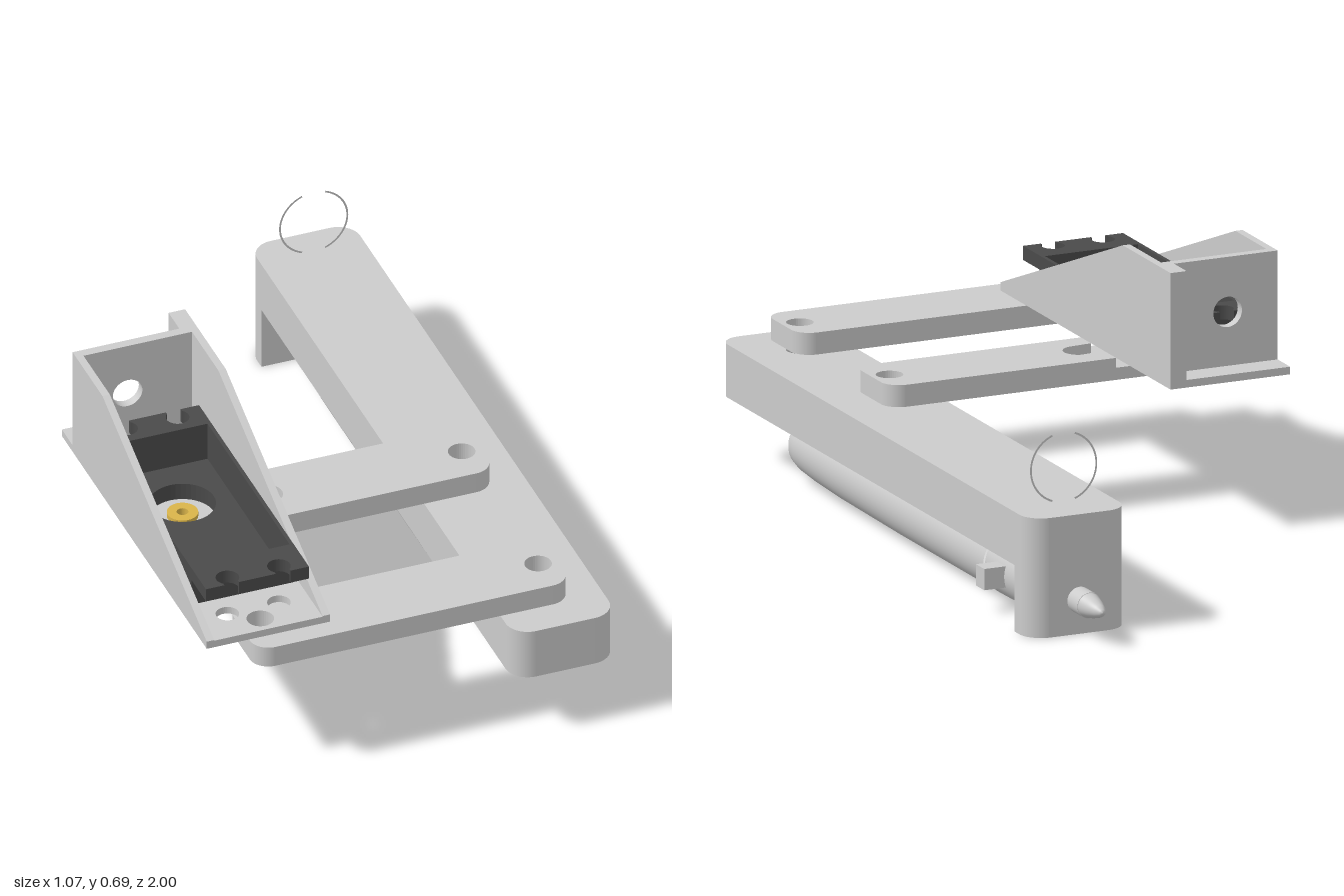
import * as THREE from 'three';

const material = (color) => new THREE.MeshStandardMaterial({ color, side: THREE.DoubleSide });

export function createModel() {
  const root = new THREE.Group();
  const grey = material(0xcccccc), dark = material(0x4a4a4a), gold = material(0xd9b44a);
  const label = material(0x3d2a3d);

  const add = (name, geometry, mat = grey) => {
    const mesh = new THREE.Mesh(geometry, mat);
    mesh.name = name;
    root.add(mesh);
    return mesh;
  };
  const box = (name, x0, x1, y0, y1, z0, z1, mat) =>
    add(name, new THREE.BoxGeometry(x1 - x0, y1 - y0, z1 - z0), mat)
      .position.set((x0 + x1) / 2, (y0 + y1) / 2, (z0 + z1) / 2);

  // rounded rectangle in plan (x, z)
  const plan = (x0, x1, z0, z1, r = 0) => {
    const s = new THREE.Shape();
    if (!r) {
      return s.moveTo(x0, z0).lineTo(x1, z0).lineTo(x1, z1).lineTo(x0, z1).closePath();
    }
    const H = Math.PI / 2;
    s.absarc(x1 - r, z1 - r, r, 0, H);
    s.absarc(x0 + r, z1 - r, r, H, 2 * H);
    s.absarc(x0 + r, z0 + r, r, 2 * H, 3 * H);
    s.absarc(x1 - r, z0 + r, r, 3 * H, 4 * H);
    return s.closePath();
  };
  const drill = (shape, ...holes) => {
    for (const [x, z, r] of holes) shape.holes.push(new THREE.Path().absarc(x, z, r, 0, Math.PI * 2, true));
    return shape;
  };
  // plan shape raised from y0 to y1
  const slab = (name, shape, y0, y1, mat) => {
    const g = new THREE.ExtrudeGeometry(shape, { depth: y1 - y0, bevelEnabled: false, curveSegments: 20 });
    add(name, g.rotateX(Math.PI / 2).translate(0, y1, 0), mat);
  };

  // long pen holder beam with its drop-down end block
  slab('holderBeam', drill(plan(0.25, 0.53, -0.86, 1, 0.06), [0.385, 0.82, 0.035]), 0.175, 0.315);
  const end = new THREE.Shape();
  end.moveTo(0.25, -0.77).lineTo(0.25, -0.8).absarc(0.31, -0.8, 0.06, Math.PI, Math.PI * 1.5);
  end.absarc(0.47, -0.8, 0.06, Math.PI * 1.5, Math.PI * 2).lineTo(0.53, -0.77).closePath();
  slab('holderEndBlock', end, 0, 0.175);

  // pen, turned about z
  const turned = (name, points, mat) => {
    const g = new THREE.LatheGeometry(points.map(([r, z]) => new THREE.Vector2(r, z)), 48);
    add(name, g.rotateX(Math.PI / 2).translate(0.39, 0.09, 0), mat);
  };
  turned('penBarrel', [[0.086, -0.468], [0.086, 0.1], [0.083, 0.45], [0.078, 0.62], [0.073, 0.7],
    [0.066, 0.738], [0.057, 0.757], [0.046, 0.763]]);
  turned('penEnd', [[0.046, 0.763], [0.042, 0.757], [0, 0.757]]);
  turned('penJoint', [[0.08, -0.482], [0.08, -0.466]]);
  turned('penGrip', [[0.08, -0.78], [0.082, -0.77], [0.086, -0.48], [0.08, -0.48]]);
  turned('penNeck', [[0.034, -0.92], [0.034, -0.85]]);
  turned('penTip', [[0, -1], [0.009, -0.997], [0.017, -0.98], [0.026, -0.95], [0.032, -0.92], [0.034, -0.92]]);
  box('gripLug', 0.46, 0.53, 0.062, 0.118, -0.59, -0.54);

  // two thin wire arcs standing on the beam
  for (const start of [-70, 110]) {
    const arc = new THREE.RingGeometry(0.089, 0.094, 40, 1, start * Math.PI / 180, 140 * Math.PI / 180);
    add('wireArc', arc.translate(0.39, 0.415, -0.765));
  }

  // parallel link arms
  slab('idlerArm', drill(plan(-0.42, 0.435, 0.715, 0.925, 0.05),
    [0.385, 0.82, 0.035], [-0.37, 0.82, 0.035]), 0.33, 0.388);
  const lower = new THREE.Shape();
  lower.moveTo(-0.39, 0.18).lineTo(0.385, 0.18).absarc(0.385, 0.23, 0.05, -Math.PI / 2, 0);
  lower.absarc(0.385, 0.34, 0.05, 0, Math.PI / 2).lineTo(-0.39, 0.39);
  lower.absarc(-0.39, 0.285, 0.105, Math.PI / 2, Math.PI * 1.5);
  slab('driveArmLower', drill(lower, [0.385, 0.285, 0.035], [-0.37, 0.275, 0.055]), 0.33, 0.362);
  // upper layer has a rounded pocket for the horn
  const upper = new THREE.Shape();
  upper.moveTo(-0.2, 0.18).lineTo(0.385, 0.18).absarc(0.385, 0.23, 0.05, -Math.PI / 2, 0);
  upper.absarc(0.385, 0.34, 0.05, 0, Math.PI / 2).lineTo(-0.2, 0.39).lineTo(-0.2, 0.33);
  upper.absarc(-0.145, 0.283, 0.042, Math.PI / 2, -Math.PI / 2, true).lineTo(-0.2, 0.235).closePath();
  slab('driveArmUpper', drill(upper, [0.385, 0.285, 0.035]), 0.362, 0.388);

  // motor bracket
  const screws = [[-0.44, 0.77], [-0.3, 0.77], [-0.44, 0.06], [-0.3, 0.06]].map(p => [...p, 0.03]);
  const floor = drill(plan(-0.535, -0.2, -0.145, 0.87), ...screws, [-0.37, 0.82, 0.035]);
  floor.holes.push(plan(-0.505, -0.235, 0.12, 0.68));
  slab('bracketFloor', floor, 0.388, 0.408);
  const wall = (x0, x1, back, front) => {
    const s = new THREE.Shape();
    s.moveTo(-back, 0.388);
    if (front > 0.5) s.lineTo(-front, 0.388).lineTo(-front, 0.41).lineTo(-0.14, 0.695);
    else s.lineTo(-front, 0.388).lineTo(-front, 0.695);
    s.lineTo(-back, 0.695).closePath();
    const g = new THREE.ExtrudeGeometry(s, { depth: x1 - x0, bevelEnabled: false });
    add('bracketSide', g.rotateY(Math.PI / 2).translate(x0, 0, 0));
  };
  wall(-0.535, -0.515, -0.07, 0.87);
  wall(-0.22, -0.2, -0.145, 0.87);
  wall(-0.245, -0.22, -0.145, -0.07);
  const back = drill(plan(-0.515, -0.22, 0.408, 0.695), [-0.395, 0.55, 0.04]);
  add('bracketBack', new THREE.ExtrudeGeometry(back, { depth: 0.025, bevelEnabled: false, curveSegments: 24 })
    .translate(0, 0, -0.07));

  // open motor case: base, walls and slotted mounting tabs
  slab('motorBase', drill(plan(-0.505, -0.235, 0.14, 0.66), [-0.37, 0.275, 0.085]), 0.365, 0.385, dark);
  slab('motorFloor', drill(plan(-0.51, -0.23, 0.105, 0.7), [-0.37, 0.275, 0.085]), 0.385, 0.412, dark);
  const walls = plan(-0.51, -0.23, 0.105, 0.7);
  walls.holes.push(plan(-0.5, -0.24, 0.115, 0.69));
  slab('motorWalls', walls, 0.41, 0.485, dark);
  const tabs = new THREE.Shape();
  const rad = Math.PI / 180;
  tabs.moveTo(-0.51, 0.8);
  for (const x of [-0.44, -0.3]) {
    tabs.lineTo(x - 0.02, 0.8).absarc(x, 0.77, 0.03, 132 * rad, 408 * rad).lineTo(x + 0.02, 0.8);
  }
  tabs.lineTo(-0.23, 0.8).lineTo(-0.23, 0.03);
  for (const x of [-0.3, -0.44]) {
    tabs.lineTo(x + 0.02, 0.03).absarc(x, 0.06, 0.03, 312 * rad, 588 * rad).lineTo(x - 0.02, 0.03);
  }
  tabs.lineTo(-0.51, 0.03).closePath();
  tabs.holes.push(plan(-0.5, -0.24, 0.115, 0.69));
  slab('motorTabs', tabs, 0.483, 0.52, dark);
  // gusset ribs under the tabs
  for (const [z, d] of [[0.7, 1], [0.105, -1]]) {
    const s = new THREE.Shape();
    s.moveTo(-z, 0.455).lineTo(-z - d * 0.08, 0.483).lineTo(-z, 0.483).closePath();
    add('tabRib', new THREE.ExtrudeGeometry(s, { depth: 0.014, bevelEnabled: false })
      .rotateY(Math.PI / 2).translate(-0.377, 0, 0), dark);
  }
  box('motorLabel', -0.47, -0.27, 0.363, 0.366, 0.42, 0.63, label);

  // output collar and hollow brass shaft
  const tube = (name, r0, r1, y0, y1, mat) =>
    slab(name, drill(new THREE.Shape().absarc(-0.37, 0.275, r1, 0, Math.PI * 2), [-0.37, 0.275, r0]), y0, y1, mat);
  tube('outputCollar', 0.04, 0.07, 0.362, 0.372, grey);
  tube('outputSeat', 0.04, 0.055, 0.35, 0.362, dark);
  tube('outputShaft', 0.015, 0.04, 0.345, 0.385, gold);

  return root;
}
